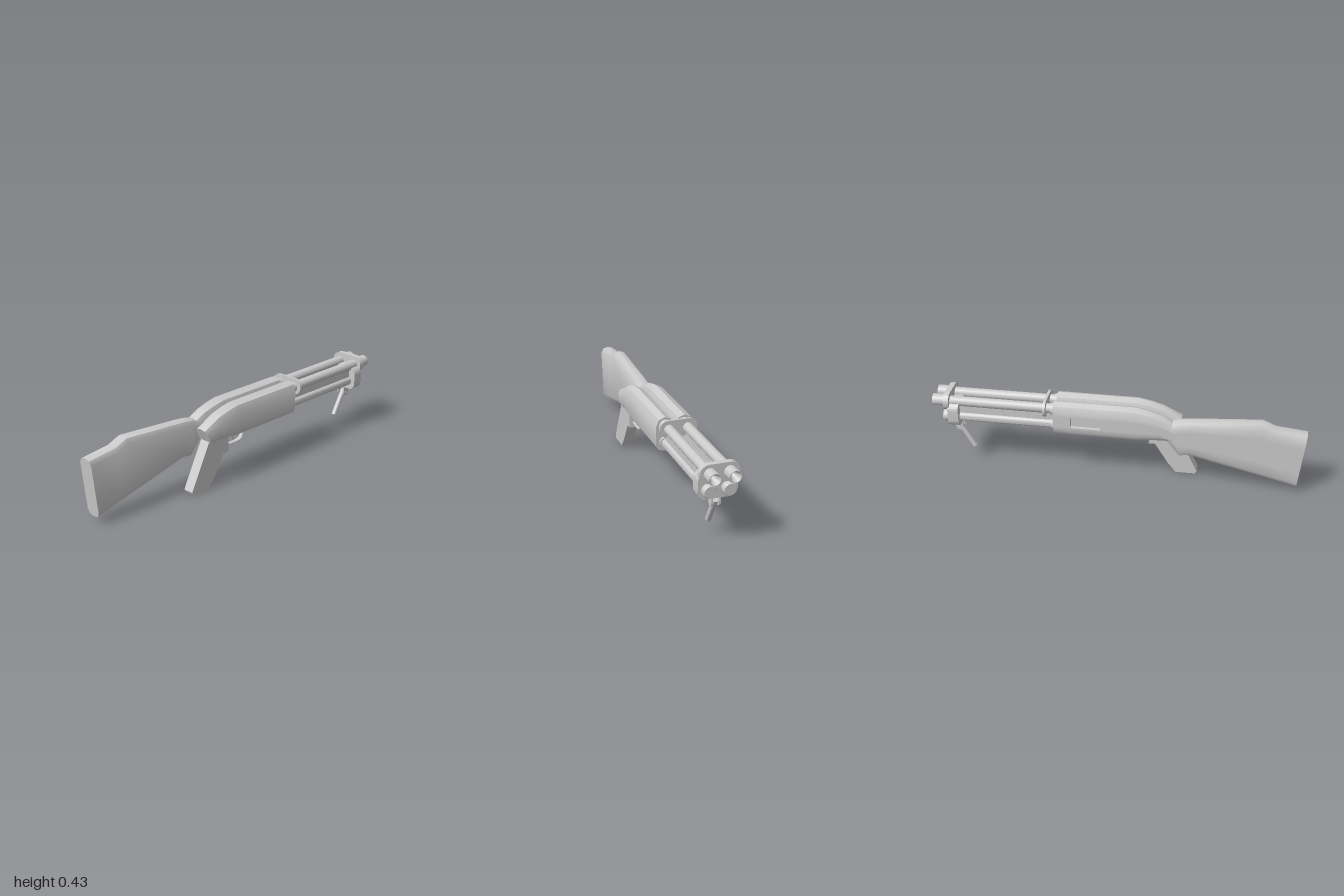
import * as THREE from 'three';
import { toCreasedNormals } from 'three/addons/utils/BufferGeometryUtils.js';

const material = new THREE.MeshStandardMaterial({ color: 0xcccccc });

function add(parent, name, geometry, x = 0, y = 0, z = 0) {
  const mesh = new THREE.Mesh(toCreasedNormals(geometry, 0.65), material);
  mesh.name = name;
  mesh.position.set(x, y, z);
  parent.add(mesh);
  return mesh;
}

// Skins a closed body over rings ordered from +z to -z, each counter-clockwise seen from +z
function loft(rings) {
  const n = rings[0].length, index = [];
  for (let i = 0; i < rings.length - 1; i++) {
    for (let j = 0; j < n; j++) {
      const a = i * n + j, b = i * n + (j + 1) % n;
      index.push(a, a + n, b, b, a + n, b + n);
    }
  }
  const last = (rings.length - 1) * n;
  for (let j = 1; j < n - 1; j++) index.push(0, j, j + 1, last, last + j + 1, last + j);
  const g = new THREE.BufferGeometry();
  g.setAttribute('position', new THREE.Float32BufferAttribute(rings.flat(2), 3));
  g.setIndex(index);
  return g;
}

// Slab with rounded top and bottom; z is sheared from top to bottom, inset dents the -x wall
function ring({ zt, top, zb = zt, bot, hw, ch = 0.05, cb = 0.03, inset = 0 }) {
  const s = top - ch, l = bot + cb;
  const hi = l + (s - l) * 0.8, lo = l + (s - l) * 0.25;
  const pts = [
    [0, bot], [0.7 * hw, bot + cb * 0.25], [hw, l], [hw, s], [0.7 * hw, top - ch * 0.28],
    [0, top], [-0.7 * hw, top - ch * 0.28], [-hw, s],
    [-hw, hi], [-hw + inset, hi], [-hw + inset, lo], [-hw, lo],
    [-hw, l], [-0.7 * hw, bot + cb * 0.25],
  ];
  return pts.map(([x, y]) => [x, y, zb + (zt - zb) * (y - bot) / (top - bot)]);
}

// Receiver, optionally with an ejection port recessed into its outer wall
function receiver(port) {
  const body = { top: 0.425, bot: 0.24, hw: 0.048 };
  const list = [
    { zt: 0.34, top: 0.338, zb: 0.3, bot: 0.252, hw: 0.041, ch: 0.028, cb: 0.012 },
    { zt: 0.235, top: 0.393, bot: 0.248, hw: 0.044, ch: 0.045 },
    { zt: 0.17, top: 0.412, bot: 0.245, hw: 0.047 },
    { ...body, zt: 0.1 },
  ];
  if (port) {
    for (const [zt, inset] of [[-0.08, 0], [-0.08, 0.02], [-0.24, 0.02], [-0.24, 0]]) {
      list.push({ ...body, zt, inset });
    }
  }
  list.push({ ...body, zt: -0.335 });
  return loft(list.map(ring));
}

// Turned part along -z from [radius, distance] pairs
function turned(points, segments = 16) {
  return new THREE.LatheGeometry(points.map(p => new THREE.Vector2(...p)), segments).rotateX(-Math.PI / 2);
}

// Rounded plate across x and y, extruded forward from z
function plate(hw, y0, y1, r, depth) {
  const s = new THREE.Shape();
  s.absarc(hw - r, y0 + r, r, -Math.PI / 2, 0);
  s.absarc(hw - r, y1 - r, r, 0, Math.PI / 2);
  s.absarc(-hw + r, y1 - r, r, Math.PI / 2, Math.PI);
  s.absarc(-hw + r, y0 + r, r, Math.PI, Math.PI * 1.5);
  return new THREE.ExtrudeGeometry(s, { depth, bevelEnabled: false, curveSegments: 5 });
}

// Side outline given as [z, y], extruded across x and centred
function sideProfile(points, width) {
  const s = new THREE.Shape(points.map(([z, y]) => new THREE.Vector2(-z, y)));
  return new THREE.ExtrudeGeometry(s, { depth: width, bevelEnabled: false })
    .rotateY(Math.PI / 2).translate(-width / 2, 0, 0);
}

export function createModel() {
  const model = new THREE.Group();
  model.name = 'doubleShotgun';

  // Shoulder stock, on one side only
  const stock = [
    { zt: 1.0, top: 0.357, zb: 0.965, bot: 0.034 },
    { zt: 0.835, top: 0.375, zb: 0.82, bot: 0.07 },
    { zt: 0.765, top: 0.405, zb: 0.75, bot: 0.087 },
    { zt: 0.395, top: 0.378, zb: 0.395, bot: 0.17 },
    { zt: 0.325, top: 0.37, zb: 0.34, bot: 0.163 },
    { zt: 0.29, top: 0.355, zb: 0.265, bot: 0.255 },
  ];
  add(model, 'stock', loft(stock.map(s => ring({ ...s, hw: 0.042, ch: 0.032 }))), -0.05);

  // Mirrored receivers, barrels and magazine tubes
  for (const [side, x] of [['right', -0.05], ['left', 0.05]]) {
    const half = new THREE.Group();
    half.name = side + 'Gun';
    half.position.x = x;
    model.add(half);
    add(half, 'receiver', receiver(x < 0), x * 0.04);
    add(half, 'barrel', turned([
      [0.027, 0.3], [0.027, 0.93], [0.032, 0.932], [0.032, 1.0], [0.028, 1.0], [0, 0.93],
    ]), 0, 0.378);
    add(half, 'magazineTube', turned([
      [0.026, 0.3], [0.026, 0.91], [0.034, 0.91], [0.034, 0.94], [0.03, 0.946], [0, 0.946],
    ]), 0, 0.289);
    add(half, 'barrelRib', new THREE.BoxGeometry(0.02, 0.07, 0.54), 0, 0.334, -0.6);
    for (const [name, y, r] of [['barrelCollar', 0.378, 0.034], ['tubeCollar', 0.289, 0.033]]) {
      add(half, name, turned([[r, 0.32], [r, 0.35], [0, 0.35]]), 0, y);
    }
  }

  // Bands joining the two guns
  add(model, 'barrelBand', plate(0.1, 0.335, 0.425, 0.044, 0.014), 0, 0, -0.39);
  add(model, 'muzzlePlate', plate(0.1, 0.33, 0.426, 0.046, 0.03), 0, 0, -0.935);
  add(model, 'tubeClamp', plate(0.1, 0.24, 0.375, 0.04, 0.058), 0, 0, -0.913);

  // Pistol grip
  add(model, 'grip', sideProfile([
    [0.305, 0.265], [0.43, 0.017], [0.42, 0], [0.315, 0], [0.27, 0.055],
    [0.2, 0.168], [0.165, 0.168], [0.165, 0.265],
  ], 0.06), 0.05);

  // Trigger and its guard
  const guard = new THREE.CatmullRomCurve3([
    [0.17, 0.2], [0.13, 0.195], [0.07, 0.196], [0.043, 0.21], [0.034, 0.25],
  ].map(([z, y]) => new THREE.Vector3(0, y, z)));
  const guardGeometry = new THREE.TubeGeometry(guard, 16, 0.006, 8).scale(2, 1, 1);
  add(model, 'triggerGuard', guardGeometry, 0.05);
  add(model, 'trigger', sideProfile([
    [0.125, 0.25], [0.118, 0.225], [0.105, 0.207], [0.098, 0.21], [0.106, 0.228], [0.105, 0.25],
  ], 0.012), 0.05);

  // Folding foregrip hung from two ears under the clamp
  for (const x of [-0.02, 0.02]) {
    add(model, 'hingeEar', new THREE.BoxGeometry(0.009, 0.05, 0.04), x, 0.227, -0.876);
    add(model, 'hingeEarEnd', new THREE.CylinderGeometry(0.02, 0.02, 0.009, 16).rotateZ(Math.PI / 2), x, 0.203, -0.876);
  }
  add(model, 'hingePin', new THREE.CylinderGeometry(0.007, 0.007, 0.054, 10).rotateZ(Math.PI / 2), 0, 0.203, -0.876);
  const handle = add(model, 'foldingHandle', new THREE.CylinderGeometry(0.015, 0.015, 0.165, 14), 0, 0.146, -0.843);
  handle.rotation.x = -Math.atan2(0.08, 0.138);

  return model;
}
